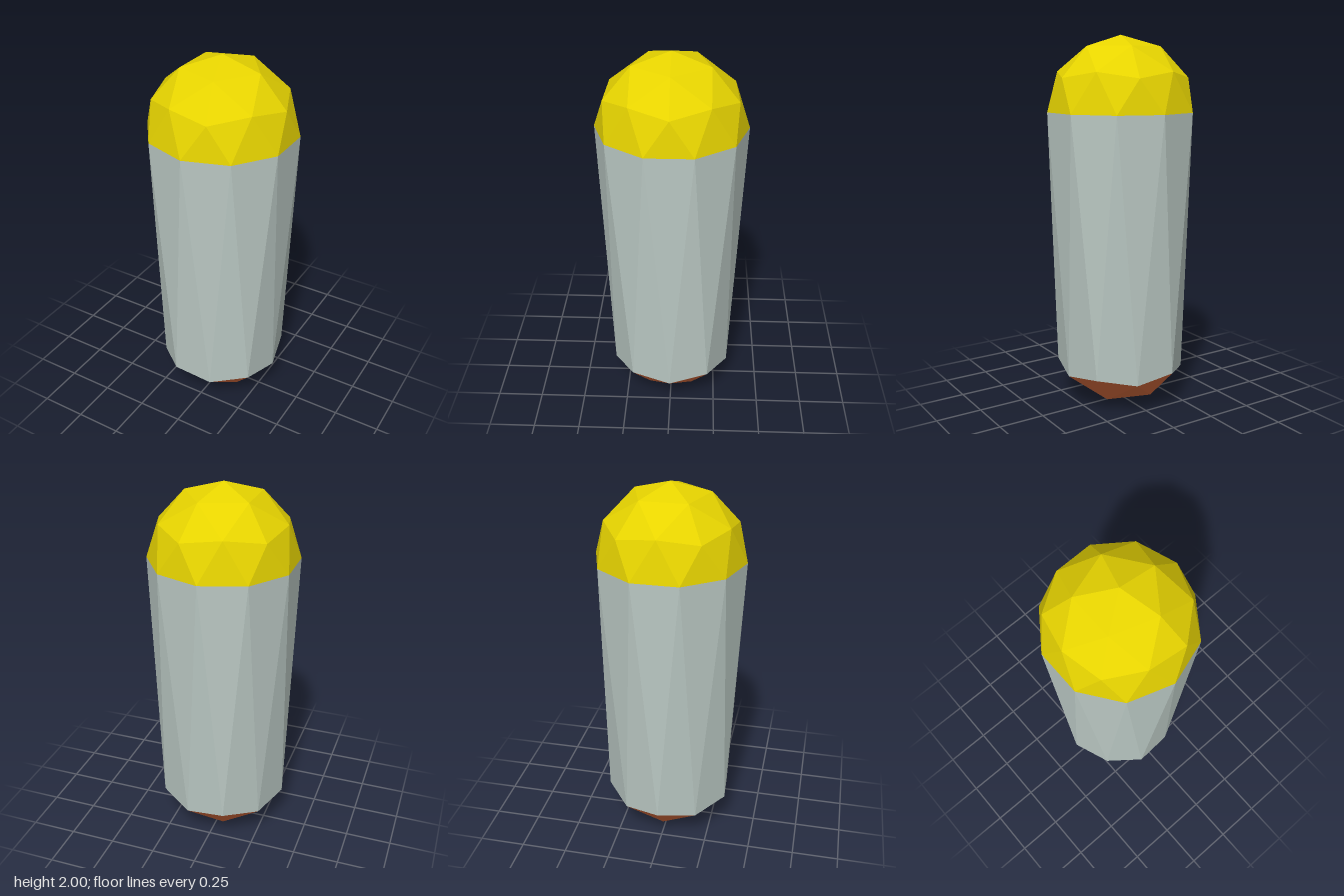
import * as THREE from 'three';

const RADIUS = 0.396;
const HEIGHT = 2;

function flatMaterial(name, color) {
  const material = new THREE.MeshStandardMaterial({ color, flatShading: true });
  material.name = name;
  return material;
}

export function createModel() {
  const group = new THREE.Group();
  group.name = 'facetedCapsule';

  // Faceted ball with one corner at the top and its upper corner ring starting at +x
  const ball = new THREE.IcosahedronGeometry(RADIUS, 1);
  ball.rotateX(-Math.atan2((1 + Math.sqrt(5)) / 2, 1));
  ball.rotateY(Math.PI / 2);

  // Sort the facets into three bands, and lift the upper half to stretch the ball
  const bands = { dome: [], body: [], base: [] };
  const pos = ball.attributes.position;
  for (let i = 0; i < pos.count; i += 3) {
    const corners = [0, 1, 2].map((k) => new THREE.Vector3().fromBufferAttribute(pos, i + k));
    const ys = corners.map((c) => c.y);
    const band = Math.min(...ys) > -0.01 ? 'dome' : Math.max(...ys) > -0.01 ? 'body' : 'base';
    for (const c of corners) {
      const lift = c.y > -0.01 ? HEIGHT - RADIUS : RADIUS;
      bands[band].push(c.x, c.y + lift, c.z);
    }
  }

  // One mesh per band
  const materials = {
    dome: flatMaterial('yellow', 0xe8d500),
    body: flatMaterial('pale grey', 0xbbc9c4),
    base: flatMaterial('rust orange', 0xe07040),
  };
  for (const [name, points] of Object.entries(bands)) {
    const geometry = new THREE.BufferGeometry();
    geometry.setAttribute('position', new THREE.Float32BufferAttribute(points, 3));
    geometry.computeVertexNormals();
    const mesh = new THREE.Mesh(geometry, materials[name]);
    mesh.name = name;
    group.add(mesh);
  }
  return group;
}
